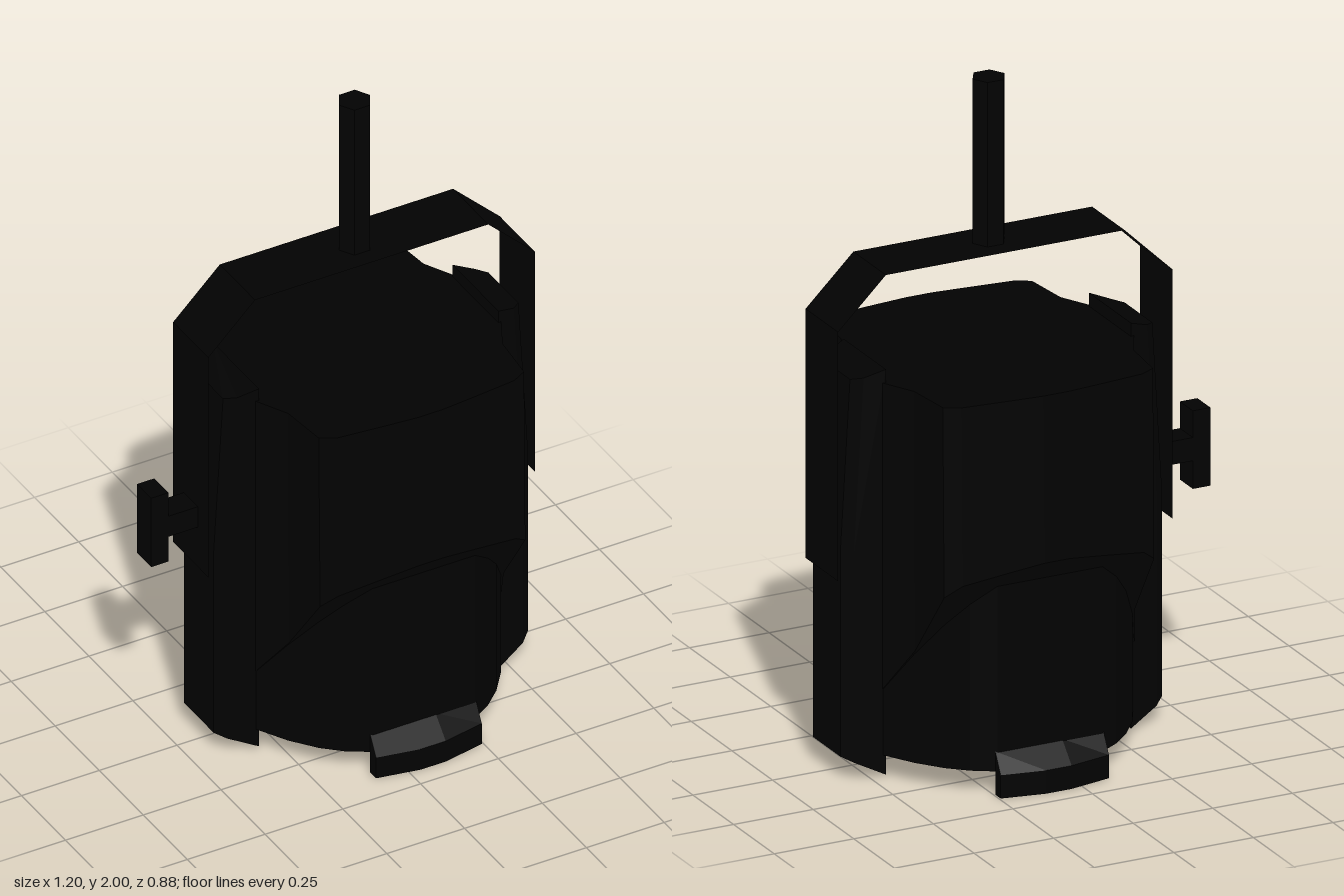
import * as THREE from 'three';

const black = new THREE.MeshStandardMaterial({ color: 0x020202, flatShading: true });
black.name = 'black';
const blackSheet = new THREE.MeshStandardMaterial({ color: 0x020202, flatShading: true, side: THREE.DoubleSide });
blackSheet.name = 'black sheet';

// Skin a list of equal-length rings, closing the ends with fans.
function loft(rings, closed = true) {
  const pos = [];
  const tri = (a, b, c) => pos.push(...a, ...b, ...c);
  const n = rings[0].length;
  for (let s = 0; s < rings.length - 1; s++) {
    for (let i = 0; i < (closed ? n : n - 1); i++) {
      const j = (i + 1) % n;
      const [a, b, c, d] = [rings[s][i], rings[s][j], rings[s + 1][j], rings[s + 1][i]];
      tri(a, b, c);
      tri(a, c, d);
    }
  }
  if (closed) {
    const first = rings[0], last = rings[rings.length - 1];
    for (let i = 1; i < n - 1; i++) {
      tri(first[0], first[i + 1], first[i]);
      tri(last[0], last[i], last[i + 1]);
    }
  }
  const geo = new THREE.BufferGeometry();
  geo.setAttribute('position', new THREE.Float32BufferAttribute(pos, 3));
  geo.computeVertexNormals();
  return geo;
}

// Repeat a list of [half width, depth] pairs from back to front.
const backToFront = (half) => [...half.map(([w, z]) => [w, -z]), ...half.slice().reverse()];

function add(parent, name, geo, x = 0, y = 0, z = 0, material = black) {
  const mesh = new THREE.Mesh(geo, material);
  mesh.name = name;
  mesh.position.set(x, y, z);
  parent.add(mesh);
  return mesh;
}

export function createModel() {
  const model = new THREE.Group();
  model.name = 'stageLamp';

  // Lamp body, centred on its own axis
  const lamp = new THREE.Group();
  lamp.name = 'lampBody';
  lamp.position.x = 0.075;
  model.add(lamp);

  // Lower barrel, rounded with a flat front and back
  const barrel = backToFront([[0.165, 0.385], [0.23, 0.345], [0.285, 0.295], [0.343, 0.22], [0.393, 0.13]]);
  add(lamp, 'barrel', loft(barrel.map(([w, z]) => [[-w, 0.07, z], [w, 0.07, z], [w, 0.72, z], [-w, 0.72, z]])));

  // Upper housing: its underside slopes down towards the middle
  const housing = backToFront([[0.04, 0.43], [0.145, 0.42], [0.285, 0.405], [0.33, 0.38], [0.345, 0.23], [0.395, 0.13]]);
  add(lamp, 'housing', loft(housing.map(([w, z]) => {
    const low = 0.69 - 1.4 * (0.43 - Math.abs(z));
    const topZ = z * 0.98;
    return [[-w, low, z], [w, low, z], [w, 1.19, topZ], [-w, 1.19, topZ]];
  })));

  // Side ribs: inner height, outer height, outer reach
  const ribGeo = loft([[0.01, 0.07, 0.505], [0.69, 0.69, 0.505], [1.23, 1.2, 0.475]].map(([yi, yo, x]) => {
    const bevelX = x - 0.03;
    const bevelY = yo + (yi - yo) * 0.25;
    return [
      [0.385, yi, 0.13], [bevelX, bevelY, 0.11], [x, yo, 0.085],
      [x, yo, -0.085], [bevelX, bevelY, -0.11], [0.385, yi, -0.13],
    ];
  }));
  // Curved lens holder tabs at front and back
  const tabGeo = loft([[-0.17, 0.415], [-0.04, 0.44], [0.04, 0.44], [0.17, 0.415]].map(([x, z]) => [
    [x, 0, z], [x, 0, 0.382], [x, 0.13, 0.382], [x, 0.07, z],
  ]));
  for (const turn of [0, Math.PI]) {
    add(lamp, turn ? 'rightRib' : 'leftRib', ribGeo).rotation.y = turn;
    add(lamp, turn ? 'backTab' : 'frontTab', tabGeo).rotation.y = turn;
  }

  // Thin bent yoke strap
  const path = [[-0.45, 0.61], [-0.45, 1.36], [-0.3, 1.505], [0.45, 1.505], [0.6, 1.36], [0.6, 0.61]];
  add(model, 'yoke', loft(path.map(([x, y]) => [[x, y, 0.09], [x, y, -0.11]]), false), 0, 0, 0, blackSheet);

  // Six-sided hanging pole
  const pole = new THREE.CylinderGeometry(0.05, 0.05, 0.495, 6);
  add(model, 'pole', pole, 0.075, 1.7525, -0.007).rotation.y = Math.PI / 2;

  // Tilt lock knob
  add(model, 'knobStem', new THREE.BoxGeometry(0.1, 0.07, 0.08), -0.5, 0.78, -0.01);
  add(model, 'knobBar', new THREE.BoxGeometry(0.055, 0.235, 0.08), -0.5725, 0.778, -0.01);

  return model;
}
